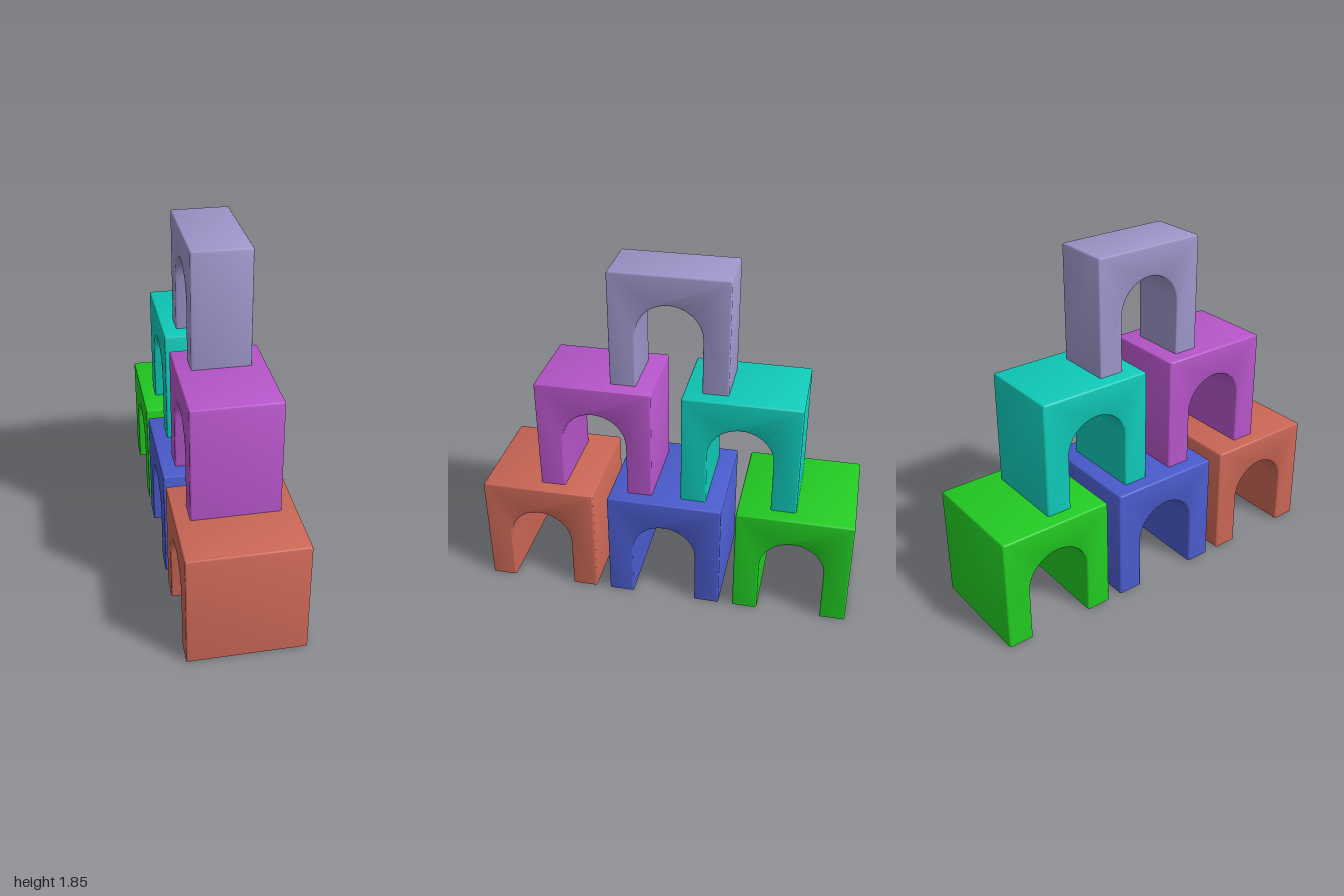
import * as THREE from 'three';
import { toCreasedNormals } from 'three/addons/utils/BufferGeometryUtils.js';

const SIZE = 0.615;        // block height and width
const HOLE = 0.172;        // arch radius
const SPRING = 0.288;      // height where the arch begins to curve
const BEVEL = 0.009;
const CORNER = 0.014;

// Arch-shaped outline, rounded at the top corners
function archShape() {
  const h = SIZE / 2;
  const s = new THREE.Shape();
  s.moveTo(HOLE, 0);
  s.lineTo(h, 0);
  s.lineTo(h, SIZE - CORNER);
  s.absarc(h - CORNER, SIZE - CORNER, CORNER, 0, Math.PI / 2);
  s.lineTo(-h + CORNER, SIZE);
  s.absarc(-h + CORNER, SIZE - CORNER, CORNER, Math.PI / 2, Math.PI);
  s.lineTo(-h, 0);
  s.lineTo(-HOLE, 0);
  s.lineTo(-HOLE, SPRING);
  s.absarc(0, SPRING, HOLE, Math.PI, 0, true);
  s.lineTo(HOLE, 0);
  return s;
}

// Block with softened rims and flat, sharp feet
function archGeometry(depth) {
  const geo = new THREE.ExtrudeGeometry(archShape(), {
    depth: depth - 2 * BEVEL,
    bevelEnabled: true,
    bevelThickness: BEVEL,
    bevelSize: BEVEL,
    bevelOffset: -BEVEL,
    bevelSegments: 3,
    curveSegments: 16,
  });
  const p = geo.attributes.position;
  for (let i = 0; i < p.count; i++) {
    if (p.getY(i) < BEVEL + 0.001) p.setY(i, 0);
  }
  geo.translate(0, 0, BEVEL - depth / 2);
  geo.rotateY(Math.PI / 2);
  return toCreasedNormals(geo, 0.6);
}

export function createModel() {
  const group = new THREE.Group();
  group.name = 'archBlockPyramid';

  // name, colour name, colour, tier, depth along x, centre z
  const blocks = [
    ['bottomFrontArch', 'terracotta', 0xc96655, 0, 0.61, 0.6925],
    ['bottomMiddleArch', 'blue', 0x4a5bcc, 0, 0.61, 0],
    ['bottomBackArch', 'green', 0x22cb22, 0, 0.61, -0.6925],
    ['middleFrontArch', 'magenta', 0xb655c9, 1, 0.456, 0.385],
    ['middleBackArch', 'turquoise', 0x0fcab9, 1, 0.456, -0.385],
    ['topArch', 'lavender', 0x9c96c9, 2, 0.305, 0],
  ];

  for (const [name, colourName, color, tier, depth, z] of blocks) {
    const material = new THREE.MeshStandardMaterial({ color });
    material.name = colourName;
    const mesh = new THREE.Mesh(archGeometry(depth), material);
    mesh.name = name;
    mesh.position.set(0, tier * SIZE, z);
    group.add(mesh);
  }
  return group;
}
